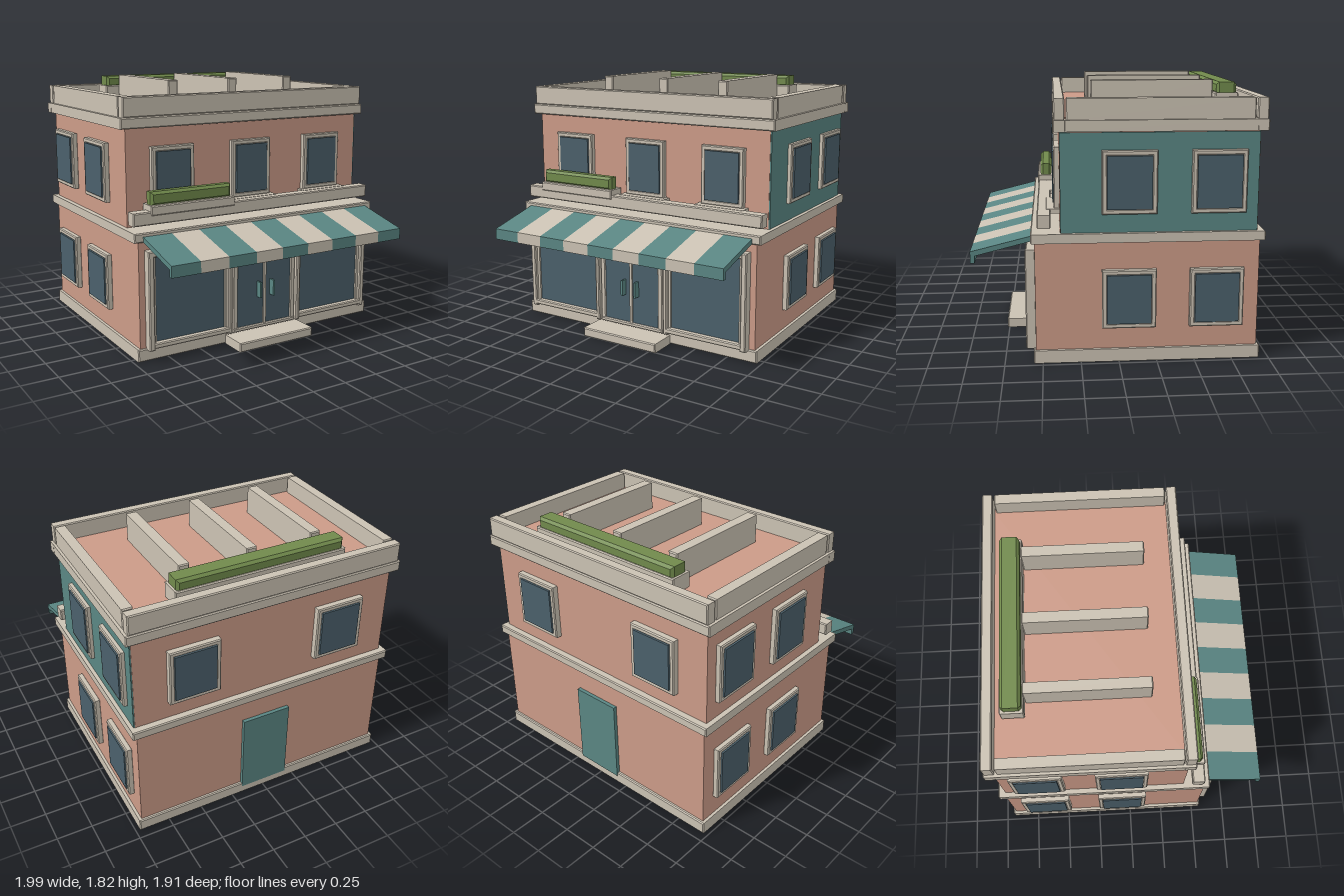
import * as THREE from 'three';

const mat = (name, color) => {
  const m = new THREE.MeshStandardMaterial({ color });
  m.name = name;
  return m;
};

export function createModel() {
  const root = new THREE.Group();
  root.name = 'cornerShop';
  const wall = mat('terracotta wall', 0xcc9b88);
  const stone = mat('cream stone', 0xcbc2b3);
  const teal = mat('teal paint', 0x5a8683);
  const glass = mat('dark glass', 0x4b606b);
  const leaf = mat('hedge green', 0x718a4c);

  const add = (name, geo, material, parent = root) => {
    const m = new THREE.Mesh(geo, material);
    m.name = name;
    parent.add(m);
    return m;
  };

  // Box given by its limits; c > 0 chamfers every edge
  const block = (name, material, [x0, x1], [y0, y1], [z0, z1], c = 0, parent = root) => {
    const w = x1 - x0, h = y1 - y0, d = z1 - z0;
    let geo;
    if (c) {
      const a = w / 2 - c, b = h / 2 - c;
      const s = new THREE.Shape([[-a, -b], [a, -b], [a, b], [-a, b]].map(p => new THREE.Vector2(...p)));
      geo = new THREE.ExtrudeGeometry(s, {
        depth: d - 2 * c, bevelEnabled: true, bevelThickness: c, bevelSize: c, bevelSegments: 1,
      });
      geo.translate(0, 0, c - d / 2);
    } else geo = new THREE.BoxGeometry(w, h, d);
    const m = add(name, geo, material, parent);
    m.position.set((x0 + x1) / 2, (y0 + y1) / 2, (z0 + z1) / 2);
    return m;
  };
  const C = 0.007;

  // Main volumes and horizontal bands
  block('plinth', stone, [-0.97, 0.97], [0, 0.087], [-0.94, 0.56], C);
  block('groundFloor', wall, [-0.95, 0.95], [0.05, 0.83], [-0.92, 0.545]);
  block('middleBand', stone, [-0.985, 0.985], [0.815, 0.877], [-0.95, 0.57], C);
  block('upperFloor', wall, [-0.95, 0.95], [0.86, 1.54], [-0.9, 0.38]);
  block('tealSideWall', teal, [0.94, 0.959], [0.877, 1.522], [-0.897, 0.377]);
  block('roofDeck', wall, [-0.93, 0.93], [1.53, 1.615], [-0.89, 0.36]);

  // Cornice ring and parapet walls
  block('corniceFront', stone, [-0.995, 0.995], [1.53, 1.603], [0.335, 0.417], C);
  block('corniceBack', stone, [-0.995, 0.995], [1.53, 1.603], [-0.945, -0.865], C);
  block('parapetFront', stone, [-0.977, 0.977], [1.603, 1.737], [0.342, 0.414], C);
  block('parapetBack', stone, [-0.977, 0.977], [1.603, 1.737], [-0.942, -0.87], C);
  for (const s of [-1, 1]) {
    const span = (a, b) => (s > 0 ? [a, b] : [-b, -a]);
    block('corniceSide', stone, span(0.9, 0.994), [1.53, 1.603], [-0.875, 0.345]);
    block('parapetSide', stone, span(0.903, 0.975), [1.6, 1.737], [-0.86, 0.335], C);
  }

  // Roof beams and roof planter
  for (const x of [-0.48, 0, 0.48])
    block('roofBeam', stone, [x - 0.037, x + 0.037], [1.61, 1.815], [-0.67, 0.16], C);
  block('roofPlanter', stone, [-0.62, 0.615], [1.63, 1.735], [-0.825, -0.668], C);
  block('roofHedge', leaf, [-0.605, 0.6], [1.72, 1.805], [-0.815, -0.68], 0.018);

  // Framed window facing local +z, z = 0 on the wall
  const makeWindow = (name, w, h, x, y, z, turn, depth = 0.037) => {
    const g = new THREE.Group();
    g.name = name;
    const rect = (Type, a, b) => new Type([[-a, -b], [a, -b], [a, b], [-a, b]].map(p => new THREE.Vector2(...p)));
    const frame = rect(THREE.Shape, w / 2 - C, h / 2 - C);
    frame.holes.push(rect(THREE.Path, w / 2 - 0.027, h / 2 - 0.027));
    const geo = new THREE.ExtrudeGeometry(frame, {
      depth: depth - C, bevelEnabled: true, bevelThickness: C, bevelSize: C, bevelSegments: 1,
    });
    add('windowFrame', geo, stone, g);
    const a = w / 2 - 0.033, b = h / 2 - 0.033;
    block('windowGlass', glass, [-a, a], [-b, b], [0.0, depth + 0.008], 0, g);
    g.position.set(x, y, z);
    g.rotation.y = turn;
    root.add(g);
  };
  for (const x of [-0.618, 0, 0.618]) {
    makeWindow('frontWindow', 0.32, 0.405, x, 1.202, 0.38, 0);
    block('windowSill', stone, [x - 0.185, x + 0.185], [0.972, 1.002], [0.37, 0.472], C);
  }
  for (const z of [-0.065, -0.64])
    for (const s of [-1, 1]) {
      makeWindow('upperSideWindow', 0.355, 0.41, s * 0.952, 1.205, z, s * Math.PI / 2);
      makeWindow('lowerSideWindow', 0.355, 0.395, s * 0.952, 0.433, z, s * Math.PI / 2);
    }
  for (const x of [-0.54, 0.54]) makeWindow('backWindow', 0.36, 0.395, x, 1.197, -0.9, Math.PI, 0.045);

  // Back door
  block('backDoor', teal, [-0.178, 0.178], [0.062, 0.655], [-0.946, -0.91]);

  // Balcony ledge with planter
  block('balconyLedge', stone, [-0.97, 0.97], [0.912, 1.0], [0.438, 0.527], C);
  block('balconyPlanter', stone, [-0.845, -0.208], [0.972, 1.038], [0.4, 0.533], C);
  block('balconyHedge', leaf, [-0.835, -0.225], [1.03, 1.125], [0.428, 0.512], 0.018);

  // Shop windows with posts, sills and heads
  for (const s of [-1, 1]) {
    const span = (a, b) => (s > 0 ? [a, b] : [-b, -a]);
    block('shopGlass', glass, span(0.31, 0.86), [0.12, 0.74], [0.54, 0.572]);
    block('shopPostOuter', stone, span(0.868, 0.908), [0.08, 0.757], [0.54, 0.61], C);
    block('shopPostInner', stone, span(0.272, 0.303), [0.08, 0.757], [0.54, 0.61], C);
    block('shopInnerTrimOuter', stone, span(0.848, 0.87), [0.1, 0.75], [0.54, 0.585]);
    block('shopInnerTrimInner', stone, span(0.3, 0.32), [0.1, 0.75], [0.54, 0.585]);
    block('shopSill', stone, span(0.29, 0.88), [0.093, 0.13], [0.54, 0.612], C);
    block('shopHead', stone, span(0.29, 0.88), [0.715, 0.757], [0.54, 0.605], C);

    // Entrance door leaf
    block('doorJamb', stone, span(0.222, 0.262), [0.08, 0.75], [0.54, 0.6], C);
    block('doorGlass', glass, span(0.009, 0.224), [0.108, 0.72], [0.54, 0.592]);
    block('doorHandle', teal, span(0.047, 0.062), [0.312, 0.424], [0.59, 0.637]);
  }
  block('doorMullion', stone, [-0.01, 0.01], [0.09, 0.73], [0.54, 0.602]);
  block('doorThreshold', stone, [-0.262, 0.262], [0.08, 0.11], [0.54, 0.605], C);
  block('doorHead', stone, [-0.262, 0.262], [0.715, 0.757], [0.54, 0.6], C);
  block('entranceStep', stone, [-0.303, 0.303], [0, 0.065], [0.555, 0.763], C);

  // Striped awning: one side profile (z, y) extruded per stripe
  const profile = new THREE.Shape([
    [0.55, 0.823], [0.928, 0.728], [0.928, 0.68], [0.957, 0.68], [0.957, 0.757], [0.55, 0.858],
  ].map(p => new THREE.Vector2(...p)));
  const stripe = 1.85 / 9;
  for (let i = 0; i < 9; i++) {
    const geo = new THREE.ExtrudeGeometry(profile, { depth: stripe, bevelEnabled: false });
    geo.rotateY(-Math.PI / 2);
    const m = add('awningStripe', geo, i % 2 ? stone : teal);
    m.position.x = -0.925 + (i + 1) * stripe;
  }
  return root;
}
